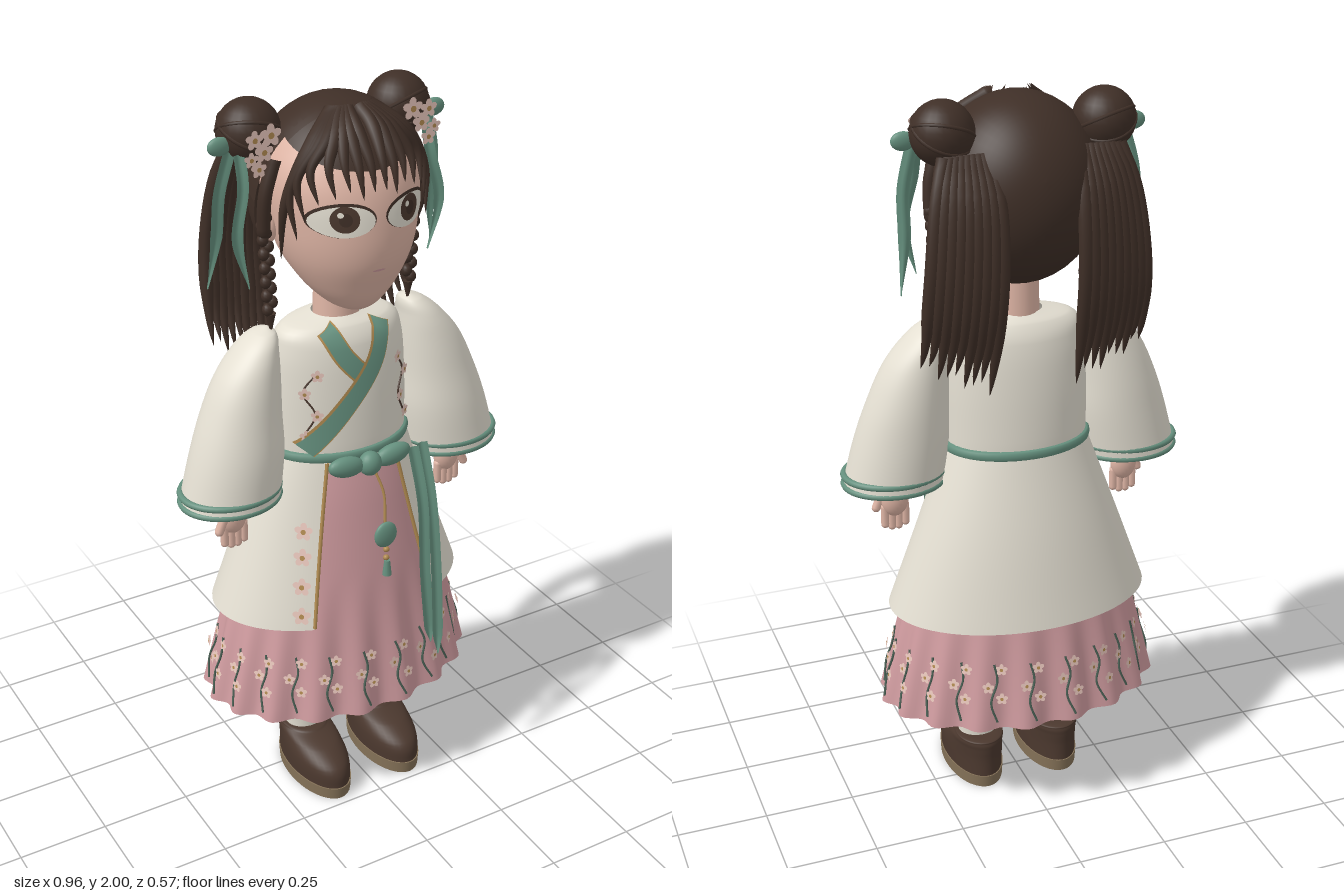
import * as THREE from 'three';
import { mergeVertices } from 'three/addons/utils/BufferGeometryUtils.js';

const V = (x, y, z) => new THREE.Vector3(x, y, z);
const material = (name, color, side = THREE.FrontSide) => {
  const m = new THREE.MeshStandardMaterial({ color, side });
  m.name = name;
  return m;
};

// Surface from a rule f(u, v) -> [x, y, z]
function grid(f, nu, nv) {
  const pos = [], idx = [], w = nu + 1;
  for (let j = 0; j <= nv; j++) for (let i = 0; i <= nu; i++) pos.push(...f(i / nu, j / nv));
  for (let j = 0; j < nv; j++) for (let i = 0; i < nu; i++) {
    const a = j * w + i;
    idx.push(a, a + 1, a + w + 1, a, a + w + 1, a + w);
  }
  let g = new THREE.BufferGeometry();
  g.setAttribute('position', new THREE.Float32BufferAttribute(pos, 3));
  g.setIndex(idx);
  g = mergeVertices(g, 1e-5);
  g.computeVertexNormals();
  return g;
}

// Profiles are rows of [y, rx, rz, cz, cx], blended smoothly over y
function section(p, y) {
  let i = 0;
  while (i < p.length - 2 && y > p[i + 1][0]) i++;
  const h = p[i + 1][0] - p[i][0], t = THREE.MathUtils.clamp((y - p[i][0]) / h, 0, 1);
  const get = (k, c) => p[k][c] ?? 0;
  const slope = (k, c) => {
    const a = Math.max(0, k - 1), b = Math.min(p.length - 1, k + 1);
    return (get(b, c) - get(a, c)) / (p[b][0] - p[a][0]);
  };
  const t2 = t * t, t3 = t2 * t;
  return [1, 2, 3, 4].map(c => (2 * t3 - 3 * t2 + 1) * get(i, c) + (t3 - 2 * t2 + t) * h * slope(i, c)
    + (3 * t2 - 2 * t3) * get(i + 1, c) + (t3 - t2) * h * slope(i + 1, c));
}
function surfacePoint(p, a, y, off = 0) {
  const [rx, rz, cz, cx] = section(p, y);
  return [cx + (Math.max(rx, 0) + off) * Math.sin(a), y, cz + (Math.max(rz, 0) + off) * Math.cos(a)];
}
function frontZ(p, x, y) {
  const [rx, rz, cz] = section(p, y);
  return cz + rz * Math.sqrt(Math.max(0, 1 - (x / rx) ** 2));
}
function loft(p, a0 = 0, a1 = Math.PI * 2, nu = 40, steps = 5) {
  const nv = (p.length - 1) * steps;
  return grid((u, v) => {
    const k = Math.min(p.length - 2, Math.floor(v * (p.length - 1) + 1e-6));
    const y = THREE.MathUtils.lerp(p[k][0], p[k + 1][0], v * (p.length - 1) - k);
    return surfacePoint(p, a0 + (a1 - a0) * u, y);
  }, nu, nv);
}
// Tapered round lock along a curve
function lock(pts, r, tip = 0.35, n = 18) {
  const c = new THREE.CatmullRomCurve3(pts.map(q => V(...q))), f = c.computeFrenetFrames(n);
  return grid((u, v) => {
    const k = Math.round(v * n), a = u * Math.PI * 2;
    const rad = r * Math.min(1, (1 - v) / tip) ** 0.7;
    return c.getPointAt(v).addScaledVector(f.normals[k], rad * Math.cos(a)).addScaledVector(f.binormals[k], rad * Math.sin(a)).toArray();
  }, 8, n);
}
const tube = (pts, r) => new THREE.TubeGeometry(new THREE.CatmullRomCurve3(pts.map(q => V(...q))), 16, r, 6);
// Flat ribbon with its width across x and y; zAt can lay it on a surface
function strip(pts, width, tip = 0, zAt) {
  const c = new THREE.CatmullRomCurve3(pts.map(q => V(q[0], q[1], q[2] ?? 0)));
  return grid((u, v) => {
    const p = c.getPointAt(v), t = c.getTangentAt(v), l = Math.hypot(t.x, t.y);
    const w = (u - 0.5) * width * (tip ? Math.min(1, (1 - v) / tip + 0.05) : 1);
    const x = p.x - t.y / l * w, y = p.y + t.x / l * w;
    return [x, y, zAt ? zAt(x, y) : p.z + 0.003 * Math.cos(u * Math.PI * 2)];
  }, 6, 24);
}
const decal = (p, cx, cy, rx, ry, off) => grid((u, v) => {
  const a = u * Math.PI * 2, x = cx + rx * (1 - v) * Math.cos(a), y = cy + ry * (1 - v) * Math.sin(a);
  return [x, y, frontZ(p, x, y) + off];
}, 28, 5);

const head = [[1.46, 0, 0, 0.085], [1.47, 0.04, 0.045, 0.083], [1.5, 0.085, 0.085, 0.075], [1.55, 0.13, 0.125, 0.06],
  [1.62, 0.17, 0.17, 0.04], [1.7, 0.192, 0.19, 0.025], [1.8, 0.2, 0.19, 0.012], [1.88, 0.175, 0.165, 0], [1.95, 0.11, 0.11, 0], [1.975, 0, 0, 0]];
const torso = [[1.03, 0.195, 0.14], [1.1, 0.195, 0.14], [1.25, 0.193, 0.13], [1.36, 0.182, 0.112], [1.405, 0.155, 0.088], [1.425, 0.07, 0.06]];
const coat = [[0.595, 0.367, 0.247, -0.01], [0.83, 0.281, 0.196, -0.01], [1.06, 0.197, 0.144, 0]];
const skirt = Array.from({ length: 8 }, (_, i) => {
  const s = (1 - i / 7) ** 0.8;
  return [0.31 + 0.74 * i / 7, 0.185 + 0.205 * s, 0.13 + 0.142 * s, -0.008];
});
const ripple = (a, y) => -0.012 * Math.max(0, (0.72 - y) / 0.41) * Math.cos(a * 18);

export function createModel() {
  const D = THREE.DoubleSide;
  const M = {
    hair: material('dark hair', 0x3f2f27), skin: material('skin', 0xe0b6a6), cream: material('cream cloth', 0xe4dfd2, D),
    pink: material('pink cloth', 0xcf9b9f, D), teal: material('teal ribbon', 0x66917f, D), gold: material('gold', 0xb08a50, D),
    shoe: material('shoe brown', 0x4b382e), sole: material('sole tan', 0x857258), blossom: material('blossom', 0xeccabf, D),
    stem: material('stem green', 0x4c6256),
  };
  const root = new THREE.Group();
  const add = (name, geo, mat, pos, scale) => {
    const m = new THREE.Mesh(geo, mat);
    m.name = name;
    if (pos) m.position.set(...pos);
    if (scale) m.scale.set(...scale);
    root.add(m);
    return m;
  };
  const ball = new THREE.SphereGeometry(1, 24, 16), bead = new THREE.SphereGeometry(1, 10, 8);

  // Five-petalled blossoms
  const petals = new THREE.ShapeGeometry(new THREE.Shape(Array.from({ length: 30 }, (_, i) => {
    const a = i / 30 * Math.PI * 2, r = 0.6 + 0.4 * Math.abs(Math.cos(2.5 * a));
    return new THREE.Vector2(r * Math.sin(a), r * Math.cos(a));
  })));
  const heart = new THREE.CircleGeometry(0.28, 10).translate(0, 0, 0.12);
  const flower = (p, n, r) => {
    const g = new THREE.Group();
    g.name = 'blossom';
    g.add(new THREE.Mesh(petals, M.blossom), new THREE.Mesh(heart, M.gold));
    g.position.set(...p);
    g.scale.setScalar(r);
    g.lookAt(p[0] + n[0], p[1] + n[1], p[2] + n[2]);
    root.add(g);
  };

  // Skirt with a rippled hem, and the open coat over it
  add('skirt', grid((u, v) => {
    const a = u * Math.PI * 2, y = 0.31 + 0.74 * v;
    return surfacePoint(skirt, a, y, ripple(a, y));
  }, 180, 20), M.pink);
  const open = 0.53;
  add('coatSkirt', loft(coat, open, Math.PI * 2 - open, 60, 6), M.cream);
  add('coatBody', loft(torso), M.cream);
  add('sash', loft([[1.048, 0.196, 0.142], [1.052, 0.204, 0.149], [1.072, 0.204, 0.149], [1.076, 0.192, 0.138]], 0, Math.PI * 2, 48, 2), M.teal);

  // Sprigs around the hem
  for (let i = 0; i < 22; i++) {
    const a0 = (i + 0.5) / 22 * Math.PI * 2;
    const at = (da, y, off) => surfacePoint(skirt, a0 + da, y, ripple(a0 + da, y) + off);
    add('hemStem', tube([at(0.03, 0.33, 0.003), at(-0.02, 0.39, 0.003), at(0.02, 0.45, 0.003), at(-0.01, 0.5, 0.003)], 0.0032), M.stem);
    [[0.05, 0.485], [-0.045, 0.44], [0.06, 0.4]].forEach(([da, y]) =>
      flower(at(da, y, 0.011), [Math.sin(a0), 0.2, Math.cos(a0)], 0.017));
  }

  // Crossed collar, gold edged
  const lapels = [[[-0.078, 1.41], [-0.045, 1.34], [0.01, 1.275]], [[0.078, 1.41], [0.04, 1.32], [-0.06, 1.2], [-0.155, 1.09]]];
  lapels.forEach((pts, i) => [[0.056, M.gold, 0.006], [0.046, M.teal, 0.01]].forEach(([w, m, off]) =>
    add('collar', strip(pts, w, 0, (x, y) => frontZ(torso, x, y) + off + i * 0.007), m)));

  for (const s of [-1, 1]) {
    // Coat edge, blossoms on coat and chest
    add('coatEdge', tube([1.05, 0.9, 0.75, 0.6].map(y => surfacePoint(coat, s * open, y, 0.002)), 0.005), M.gold);
    [0.87, 0.8, 0.72, 0.64].forEach((y, i) => {
      const a = s * (0.72 - i * 0.025);
      flower(surfacePoint(coat, a, y, 0.01), [Math.sin(a), 0.25, Math.cos(a)], 0.026);
    });
    const chest = [[0.12, 1.3], [0.15, 1.25], [0.125, 1.19], [0.15, 1.13]].map(([x, y]) => [s * x, y, frontZ(torso, x, y) + 0.003]);
    add('chestSprig', tube(chest, 0.0025), M.shoe);
    chest.forEach(([x, y, z]) => flower([x, y, z + 0.01], [s * 0.6, 0, 1], 0.018));

    // Bell sleeve with two cuff bands
    add('sleeve', loft([[0.975, 0.137, 0.118, 0.027, s * 0.337], [1.1, 0.127, 0.112, 0.024, s * 0.313], [1.2, 0.109, 0.101, 0.018, s * 0.296],
      [1.3, 0.086, 0.086, 0.014, s * 0.272], [1.37, 0.057, 0.068, 0.01, s * 0.244], [1.41, 0.031, 0.04, 0.008, s * 0.22],
      [1.425, 0, 0, 0.008, s * 0.21]]), M.cream);
    for (const y of [0.972, 0.998]) {
      const ring = add('cuffBand', new THREE.TorusGeometry(1, 0.075, 8, 48), M.teal, [s * 0.338, y, 0.027], [0.133, 0.112, 0.12]);
      ring.rotation.x = Math.PI / 2;
    }
    // Arm and hand
    add('arm', new THREE.CylinderGeometry(0.03, 0.024, 0.3, 16), M.skin, [s * 0.33, 1.08, 0.03]);
    add('palm', ball, M.skin, [s * 0.335, 0.91, 0.033], [0.038, 0.05, 0.026]);
    for (let i = 0; i < 4; i++)
      add('finger', new THREE.CapsuleGeometry(0.0115, 0.05, 4, 8), M.skin, [s * (0.306 + i * 0.019), 0.862 - (i % 3 ? 0.008 : 0), 0.036]);
    const thumb = add('thumb', new THREE.CapsuleGeometry(0.0125, 0.045, 4, 8), M.skin, [s * 0.375, 0.905, 0.048]);
    thumb.rotation.z = s * 0.4;

    // Leg, shoe and sole
    const x = s * 0.115;
    add('leg', loft([[0.12, 0.055, 0.05, 0.01, x], [0.19, 0.058, 0.052, 0.01, x], [0.21, 0.066, 0.058, 0.01, x], [0.27, 0.067, 0.059, 0.01, x],
      [0.3, 0.06, 0.053, 0.01, x], [0.6, 0.062, 0.056, 0.01, x]]), M.cream);
    add('shoe', loft([[0.03, 0.077, 0.157, 0.07, x], [0.085, 0.078, 0.15, 0.066, x], [0.12, 0.074, 0.122, 0.037, x],
      [0.14, 0.068, 0.086, 0.003, x], [0.148, 0.054, 0.066, -0.003, x], [0.15, 0, 0, -0.003, x]]), M.shoe);
    add('sole', new THREE.CylinderGeometry(1, 0.98, 0.036, 40), M.sole, [x, 0.018, 0.07], [0.08, 1, 0.16]);

    // Eyes and ears
    const e = s * 0.09;
    add('lashLine', decal(head, e, 1.745, 0.077, 0.043, 0.003), M.hair);
    add('eyeWhite', decal(head, e, 1.742, 0.073, 0.039, 0.005), M.cream);
    add('iris', decal(head, e, 1.749, 0.033, 0.033, 0.007), M.shoe);
    add('pupil', decal(head, e, 1.749, 0.015, 0.017, 0.009), M.hair);
    add('eyeGlint', decal(head, e - 0.012, 1.762, 0.007, 0.007, 0.011), M.cream);
    add('ear', ball, M.skin, [s * 0.2, 1.69, 0.005], [0.022, 0.045, 0.028]);

    // Buns with coiled bands
    add('bun', ball, M.hair, [s * 0.213, 1.918, -0.06], [0.082, 0.082, 0.08]);
    [0.4, -0.5].forEach(t => {
      const coil = add('bunCoil', new THREE.TorusGeometry(0.079, 0.005, 6, 32), M.hair, [s * 0.213, 1.918, -0.06]);
      coil.rotation.set(Math.PI / 2 + t, 0.25 * s, 0);
    });
    // Blossom cluster and streamers on the bun
    [[0.2, 1.93, 0.03], [0.245, 1.925, 0.025], [0.222, 1.893, 0.026], [0.258, 1.88, 0.02], [0.24, 1.855, 0.022]].forEach(([fx, fy, r], i) =>
      flower([s * fx, fy, 0.032 + i * 0.003], [0, 0, 1], r));
    add('bunBow', ball, M.teal, [s * 0.305, 1.9, -0.035], [0.032, 0.024, 0.013]);
    add('streamer', strip([[s * 0.28, 1.89, -0.03], [s * 0.308, 1.78, -0.04], [s * 0.313, 1.66, -0.055], [s * 0.332, 1.52, -0.075]], 0.034, 0.4), M.teal);
    add('streamer', strip([[s * 0.265, 1.88, -0.01], [s * 0.268, 1.8, 0.01], [s * 0.292, 1.68, 0.02], [s * 0.262, 1.54, 0.02]], 0.032, 0.4), M.teal);

    // Hanging tail of parallel locks
    for (let i = 0; i < 9; i++) {
      const k = i / 8, z = 0.03 * k * k;
      add('tailLock', lock([[s * (0.12 + 0.11 * k), 1.87, -0.12], [s * (0.11 + 0.15 * k), 1.77, -0.185 + z], [s * (0.11 + 0.175 * k), 1.58, -0.205 + z],
        [s * (0.115 + 0.18 * k), 1.4, -0.175 + z], [s * (0.12 + 0.18 * k), 1.24 + 0.08 * k + 0.015 * ((i * 2) % 3), -0.13 + z * 0.5]], 0.019, 0.3), M.hair);
    }
    // Thin braid by the ear
    add('braidRoot', lock([[s * 0.19, 1.87, 0.03], [s * 0.218, 1.78, 0.03], [s * 0.22, 1.66, 0.02]], 0.018, 0.1), M.hair);
    for (let i = 0; i < 14; i++)
      add('braid', bead, M.hair, [s * (0.218 - 0.001 * i + (i % 2 ? 0.007 : -0.007)), 1.72 - i * 0.019, 0.02], [0.015, 0.017, 0.015]);
    add('braidTip', new THREE.ConeGeometry(0.014, 0.06, 10).rotateX(Math.PI), M.hair, [s * 0.204, 1.432, 0.02]);
  }

  // Head and neck
  add('head', loft(head, 0, Math.PI * 2, 48, 6), M.skin);
  add('neck', new THREE.CylinderGeometry(0.056, 0.062, 0.2, 24), M.skin, [0, 1.47, -0.005]);
  add('mouth', decal(head, 0, 1.605, 0.018, 0.003, 0.002), M.pink);

  // Hair caps: back of the head, and the crown under the fringe
  const cap = (name, radii, cy, angle, tilt) => {
    const g = new THREE.SphereGeometry(1, 40, 20, 0, Math.PI * 2, 0, angle).rotateX(tilt).scale(...radii);
    g.computeVertexNormals();
    add(name, g, M.hair, [0, cy, -0.005]);
  };
  cap('backHair', [0.225, 0.247, 0.215], 1.748, 1.53, -1.3);
  cap('crownHair', [0.22, 0.228, 0.212], 1.765, 0.82, 0.34);

  // Fringe swept from the parting, with long locks beside the face
  const over = (x, y, off) => [x, y, -0.005 + off + 0.212 * Math.sqrt(Math.max(0.02, 1 - (x / 0.222) ** 2 - ((y - 1.765) / 0.232) ** 2))];
  for (const s of [-1, 1]) [[0.016, 1.81], [0.046, 1.795], [0.076, 1.815], [0.11, 1.8], [0.145, 1.785], [0.17, 1.74], [0.184, 1.69], [0.193, 1.62]].forEach(([x, y], i) =>
    add('fringeLock', lock([over(s * (0.014 + x * 0.2), 1.978, 0), over(s * (0.012 + x * 0.62), 1.952 - x * 0.2, 0.004),
      over(s * x * 1.03, y + (1.94 - y) * 0.5, 0.008), over(s * x, y, i > 5 ? 0.035 : 0.01)], 0.018, 0.65), M.hair));

  // Waist bow, long ribbons and pendant
  add('bowKnot', ball, M.teal, [0, 1.045, 0.175], [0.032, 0.034, 0.028]);
  for (const s of [-1, 1]) {
    const loop = add('bowLoop', ball, M.teal, [s * 0.07, 1.052, 0.172], [0.054, 0.029, 0.022]);
    loop.rotation.z = s * 0.15;
  }
  add('longRibbon', strip([[0.138, 1.05, 0.165], [0.145, 0.9, 0.208], [0.138, 0.7, 0.24], [0.145, 0.48, 0.268]], 0.034, 0.08), M.teal);
  add('longRibbon', strip([[0.172, 1.05, 0.155], [0.177, 0.9, 0.2], [0.175, 0.7, 0.238], [0.163, 0.44, 0.28]], 0.034, 0.1), M.teal);
  add('pendantCord', tube([[0.005, 1.03, 0.19], [0.018, 0.97, 0.215], [0.012, 0.88, 0.235]], 0.004), M.gold);
  add('pendant', ball, M.teal, [0.012, 0.855, 0.238], [0.034, 0.038, 0.013]);
  [0.808, 0.782].forEach(y => add('pendantBead', bead, M.gold, [0.015, y, 0.238], [0.009, 0.008, 0.008]));
  add('tassel', new THREE.CylinderGeometry(0.008, 0.013, 0.045, 10), M.teal, [0.018, 0.75, 0.238]);
  return root;
}
